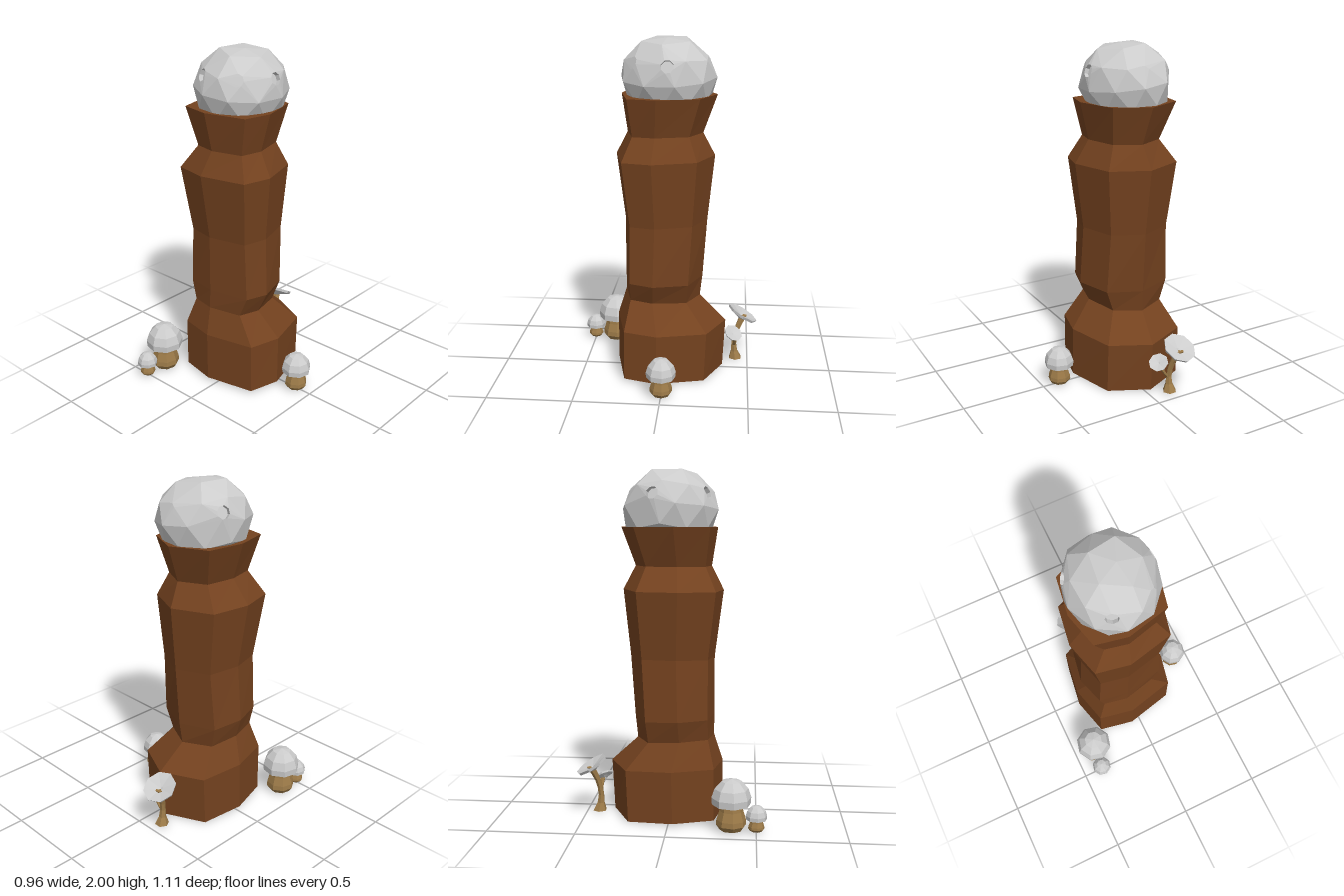
import * as THREE from 'three';
import { ConvexGeometry } from 'three/addons/geometries/ConvexGeometry.js';

const mat = (color) => new THREE.MeshStandardMaterial({ color, flatShading: true, side: THREE.DoubleSide });
const grey = mat(0xcccccc), bark = mat(0x74421f), tan = mat(0x9c7a48);
const V = (x, y, z) => new THREE.Vector3(x, y, z);

function add(parent, name, geometry, material) {
  const mesh = new THREE.Mesh(geometry, material);
  mesh.name = name;
  parent.add(mesh);
  return mesh;
}

// Closed skin over a list of rings (clockwise seen from above)
function loft(rings) {
  const n = rings[0].length, last = rings.length - 1, pos = [];
  const tri = (...pts) => pts.forEach((p) => pos.push(p.x, p.y, p.z));
  const middle = (r) => r.reduce((s, p) => s.add(p), V(0, 0, 0)).divideScalar(n);
  const low = middle(rings[0]), high = middle(rings[last]);
  for (let j = 0; j < n; j++) {
    const k = (j + 1) % n;
    for (let i = 0; i < last; i++) {
      const a = rings[i][j], b = rings[i][k], c = rings[i + 1][j], d = rings[i + 1][k];
      tri(a, c, b);
      tri(b, c, d);
    }
    tri(low, rings[0][j], rings[0][k]);
    tri(high, rings[last][k], rings[last][j]);
  }
  const g = new THREE.BufferGeometry();
  g.setAttribute('position', new THREE.Float32BufferAttribute(pos, 3));
  g.computeVertexNormals();
  return g;
}

// Irregular eight-sided trunk, each ring fitted to [y, xMin, xMax, zMin, zMax, drop at back]
function trunkGeometry() {
  const outline = [[-0.05, -1], [0.72, -0.67], [1, 0.2], [0.86, 0.79], [-0.1, 1], [-0.8, 0.87], [-1, 0.15], [-0.87, -0.65]];
  const rings = [
    [0.02, -0.33, 0.28, -0.345, 0.3, 0.02],
    [0.32, -0.33, 0.28, -0.36, 0.3, 0.02],
    [0.48, -0.26, 0.15, -0.2, 0.25, 0.03],
    [0.6, -0.3, 0.21, -0.215, 0.25, 0.02],
    [0.94, -0.28, 0.19, -0.24, 0.25, 0],
    [1.325, -0.335, 0.23, -0.28, 0.3, 0],
    [1.46, -0.23, 0.15, -0.21, 0.23, 0],
    [1.68, -0.31, 0.205, -0.29, 0.265, 0],
  ];
  return loft(rings.map(([y, x0, x1, z0, z1, drop]) => outline.map(([u, w]) => V(
    (x0 + x1) / 2 + u * (x1 - x0) / 2,
    y - drop * (1 - w) / 2,
    (z0 + z1) / 2 + w * (z1 - z0) / 2))));
}

// Faceted boulder-like head with five round recesses cut into it
function addHead(parent) {
  const head = new THREE.Group();
  head.name = 'head';
  parent.add(head);
  const centre = V(-0.052, 1.78, -0.01), r = 0.037;
  const dents = [[-0.15, 1.875, 0.22], [0.08, 1.865, 0.17], [0.2, 1.865, -0.02], [-0.03, 1.87, -0.26], [-0.275, 1.865, -0.09]].map((p) => {
    const at = V(...p), normal = at.clone().sub(centre).normalize();
    at.copy(centre).addScaledVector(normal, 0.252);
    return { at, turn: new THREE.Quaternion().setFromUnitVectors(V(0, 0, 1), normal) };
  });

  const points = new Map();
  const put = (p) => points.set(p.toArray().map((v) => v.toFixed(3)).join(), p);
  const ico = new THREE.IcosahedronGeometry(1, 1).rotateX(0.3).rotateY(0.4).rotateZ(0.5).getAttribute('position');
  for (let i = 0; i < ico.count; i++) {
    const p = V(0, 0, 0).fromBufferAttribute(ico, i).multiply(V(0.262, 0.245, 0.28)).add(centre);
    p.y = Math.min(2, Math.max(1.62, p.y));
    if (dents.every((d) => d.at.distanceTo(p) > 0.085)) put(p);
  }
  for (const d of dents) {
    for (let k = 0; k < 8; k++) {
      const a = k * Math.PI / 4;
      put(V(r * Math.cos(a), r * Math.sin(a), 0).applyQuaternion(d.turn).add(d.at));
    }
  }

  // Open the hull where a face lies wholly inside a recess
  const hull = new ConvexGeometry([...points.values()]).getAttribute('position');
  const pos = [];
  for (let i = 0; i < hull.count; i += 3) {
    const t = [0, 1, 2].map((k) => V(0, 0, 0).fromBufferAttribute(hull, i + k));
    if (dents.some((d) => t.every((p) => p.distanceTo(d.at) < r + 0.002))) continue;
    t.forEach((p) => pos.push(p.x, p.y, p.z));
  }
  const shell = new THREE.BufferGeometry();
  shell.setAttribute('position', new THREE.Float32BufferAttribute(pos, 3));
  shell.computeVertexNormals();
  add(head, 'headShell', shell, grey);

  const depth = 0.025;
  for (const d of dents) {
    const dent = new THREE.Group();
    dent.name = 'recess';
    dent.position.copy(d.at);
    dent.quaternion.copy(d.turn);
    add(dent, 'recessWall', new THREE.CylinderGeometry(r, r, depth, 8, 1, true).rotateX(Math.PI / 2).translate(0, 0, -depth / 2), grey);
    add(dent, 'recessFloor', new THREE.CircleGeometry(r, 8).translate(0, 0, -depth), grey);
    head.add(dent);
  }
}

const lathe = (pts) => new THREE.LatheGeometry(pts.map(([x, y]) => new THREE.Vector2(x, y)), 8);

// Stout mushroom: bulging stem under a domed cap
function addMushroom(parent, x, z, radius, rim, top) {
  const g = new THREE.Group();
  g.name = 'mushroom';
  g.position.set(x, 0.01, z);
  const h = rim - 0.01, dome = top - rim;
  add(g, 'stem', lathe([[0, 0], [0.58, 0], [0.76, 0.2], [0.74, 0.4], [0.6, 0.75], [0.52, 1.2]].map(([u, v]) => [u * radius, v * h])), tan);
  add(g, 'cap', lathe([[0, 0.12], [0.55, 0.1], [0.97, 0], [1, 0.27], [0.85, 0.62], [0.5, 0.91], [0, 1]].map(([u, v]) => [u * radius, h + v * dome])), grey);
  g.rotation.y = 0.15;
  parent.add(g);
}

// Bent tapering stalk with six sides
function stalk(path, radii) {
  const curve = new THREE.CatmullRomCurve3(path.map((p) => V(...p)));
  const steps = radii.length - 1;
  return loft(radii.map((r, i) => {
    const c = curve.getPointAt(i / steps);
    return Array.from({ length: 6 }, (_, k) => {
      const a = k * Math.PI / 3;
      return V(c.x + r * Math.cos(a), c.y, c.z + r * Math.sin(a));
    });
  }));
}

// Thin funnel-shaped cap tilted along a direction
function addFunnelCap(parent, at, axis, r) {
  const cap = add(parent, 'funnelCap', lathe([[0.12, -0.35], [0.5, -0.2], [0.94, -0.08], [1, 0.08], [0.55, -0.02], [0.12, -0.12], [0, -0.18]].map(([u, v]) => [u * r, v * r])), grey);
  cap.position.set(...at);
  cap.quaternion.setFromUnitVectors(V(0, 1, 0), V(...axis).normalize());
}

export function createModel() {
  const model = new THREE.Group();
  model.name = 'stumpWithMushrooms';
  add(model, 'trunk', trunkGeometry(), bark);
  addHead(model);

  addMushroom(model, -0.37, 0.36, 0.112, 0.155, 0.3);
  addMushroom(model, -0.38, 0.5, 0.06, 0.075, 0.155);
  addMushroom(model, 0.393, 0, 0.087, 0.12, 0.235);

  // Forked pair of funnel mushrooms behind the trunk
  const pair = new THREE.Group();
  pair.name = 'funnelMushrooms';
  add(pair, 'mainStalk', stalk([[-0.12, 0.01, -0.425], [-0.12, 0.1, -0.415], [-0.13, 0.19, -0.43], [-0.155, 0.28, -0.47]],
    [0.042, 0.022, 0.017, 0.017, 0.018, 0.02, 0.024]), tan);
  add(pair, 'sideStalk', stalk([[-0.12, 0.09, -0.415], [-0.08, 0.14, -0.42], [-0.055, 0.19, -0.415]], [0.01, 0.01, 0.011, 0.014]), tan);
  addFunnelCap(pair, [-0.155, 0.295, -0.465], [-0.1, 0.83, -0.5], 0.1);
  addFunnelCap(pair, [-0.05, 0.205, -0.41], [0.45, 0.8, -0.4], 0.058);
  model.add(pair);
  return model;
}
